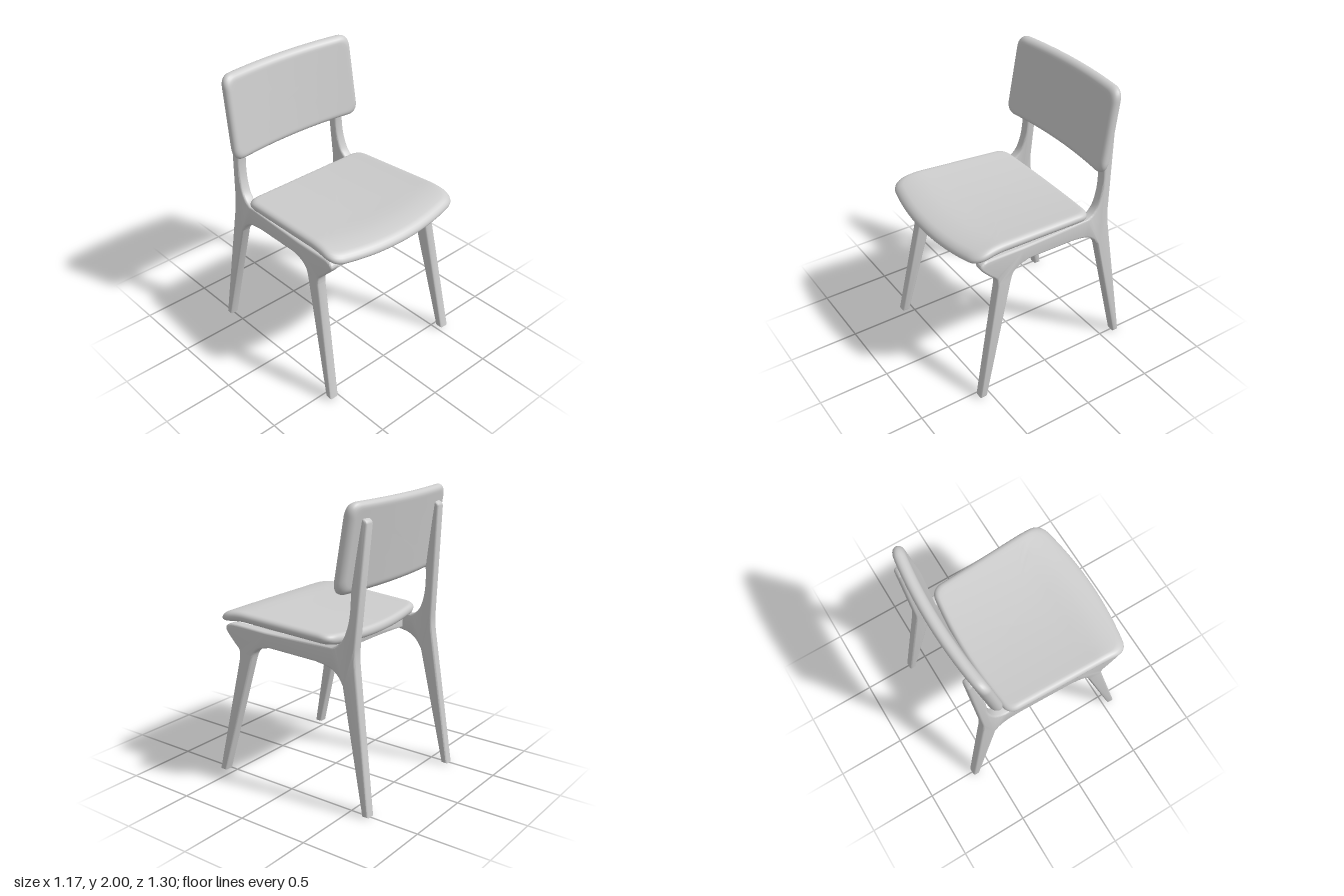
import * as THREE from 'three';
import { toCreasedNormals } from 'three/addons/utils/BufferGeometryUtils.js';

const pale = new THREE.MeshStandardMaterial({ color: 0xcccccc });
pale.name = 'pale grey';

const v2 = (list) => list.map(([a, b]) => new THREE.Vector2(a, b));

function addMesh(group, name, geometry) {
  const mesh = new THREE.Mesh(geometry, pale);
  mesh.name = name;
  group.add(mesh);
  return mesh;
}

// Move every vertex by a rule
function warp(geometry, rule) {
  const p = geometry.attributes.position;
  const v = new THREE.Vector3();
  for (let i = 0; i < p.count; i++) {
    v.fromBufferAttribute(p, i);
    rule(v);
    p.setXYZ(i, v.x, v.y, v.z);
  }
  return geometry;
}

// Cushion with a rounded rim: rings run from the lower centre, round the rim, to the upper centre
function pad(shape, halfW, halfH, edge, thick, rule) {
  const N = 240;
  const outline = shape.getSpacedPoints(N).slice(0, N);
  const scales = [0, 0.15, 0.3, 0.45, 0.6, 0.75, 0.87, 0.95];
  const rings = scales.map((s) => [s, edge, -thick]);
  const steps = 10;
  for (let i = 0; i <= steps; i++) {
    const a = (Math.PI * i) / steps;
    rings.push([1, edge * (1 - Math.sin(a)), -thick * Math.cos(a)]);
  }
  scales.slice().reverse().forEach((s) => rings.push([s, edge, thick]));

  const pos = [], idx = [];
  rings.forEach(([s, inset, w], i) => {
    outline.forEach((q, j) => {
      pos.push(q.x * s * (1 - inset / halfW), q.y * s * (1 - inset / halfH), w);
      if (i === rings.length - 1) return;
      const k = (j + 1) % N;
      const a = i * N + j, b = i * N + k, c = b + N, d = a + N;
      idx.push(a, b, c, a, c, d);
    });
  });
  const g = new THREE.BufferGeometry();
  g.setAttribute('position', new THREE.Float32BufferAttribute(pos, 3));
  g.setIndex(idx);
  warp(g, rule);
  g.computeVertexNormals();
  return g;
}

// Side outline of one frame: front leg, rail, rear leg and back post (z, y)
function frameShape() {
  const s = new THREE.Shape();
  s.moveTo(0.586, 0.014);
  s.lineTo(0.414, 0.865);
  s.splineThru(v2([[0.42, 0.92], [0.47, 0.97], [0.525, 1.03], [0.535, 1.065], [0.5, 1.09], [0.44, 1.093]]));
  s.lineTo(0.2, 1.08);
  s.lineTo(-0.33, 1.075);
  s.splineThru(v2([[-0.375, 1.1], [-0.415, 1.15], [-0.445, 1.24], [-0.457, 1.34], [-0.457, 1.44]]));
  s.lineTo(-0.513, 1.88);
  s.quadraticCurveTo(-0.517, 1.905, -0.535, 1.895);
  s.quadraticCurveTo(-0.559, 1.885, -0.558, 1.86);
  s.lineTo(-0.507, 1.09);
  s.quadraticCurveTo(-0.503, 1.03, -0.52, 0.92);
  s.lineTo(-0.648, 0);
  s.lineTo(-0.602, 0);
  s.lineTo(-0.42, 0.84);
  s.splineThru(v2([[-0.377, 0.9], [-0.313, 0.94], [-0.207, 0.96]]));
  s.lineTo(0.165, 0.976);
  s.splineThru(v2([[0.245, 0.955], [0.29, 0.918], [0.313, 0.854]]));
  s.lineTo(0.536, 0.014);
  s.closePath();
  return s;
}

// Frames lean inward with height and splay toward the front
function sideFrame(side) {
  const bevel = 0.014, width = 0.072;
  const g = new THREE.ExtrudeGeometry(frameShape(), {
    depth: width - 2 * bevel, curveSegments: 6,
    bevelEnabled: true, bevelSize: bevel, bevelThickness: bevel, bevelOffset: -bevel, bevelSegments: 3,
  });
  g.translate(0, 0, bevel - width / 2);
  g.rotateY(-Math.PI / 2);
  warp(g, (v) => { v.x += side * (0.524 + 0.0425 * v.z - 0.049 * v.y); });
  return toCreasedNormals(g, 0.6);
}

// Cross beam with arched underside and a dished top
function crossBeam(half, topEnd, topMid, z) {
  const s = new THREE.Shape();
  s.moveTo(-half, 0.97);
  s.quadraticCurveTo(0, 1.0, half, 0.97);
  s.lineTo(half, 1.07);
  s.lineTo(half - 0.06, topEnd);
  s.quadraticCurveTo(0, 2 * topMid - topEnd, -half + 0.06, topEnd);
  s.lineTo(-half, 1.07);
  s.closePath();
  const g = new THREE.ExtrudeGeometry(s, {
    depth: 0.05, curveSegments: 20,
    bevelEnabled: true, bevelSize: 0.008, bevelThickness: 0.008, bevelOffset: -0.008, bevelSegments: 2,
  });
  g.translate(0, 0, z - 0.025);
  return toCreasedNormals(g, 0.6);
}

// Seat outline drawn as (x, -z)
function seatShape() {
  const s = new THREE.Shape();
  s.moveTo(-0.47, -0.596);
  s.quadraticCurveTo(0, -0.7, 0.47, -0.596);
  s.quadraticCurveTo(0.555, -0.575, 0.55, -0.48);
  s.lineTo(0.52, 0.25);
  s.quadraticCurveTo(0.517, 0.325, 0.44, 0.337);
  s.quadraticCurveTo(0, 0.395, -0.44, 0.337);
  s.quadraticCurveTo(-0.517, 0.325, -0.52, 0.25);
  s.lineTo(-0.55, -0.48);
  s.quadraticCurveTo(-0.555, -0.575, -0.47, -0.596);
  return s;
}

// Backrest outline, slightly wider at the bottom
function backShape() {
  const s = new THREE.Shape();
  const h = 0.288, r = 0.08, b = 0.545, t = 0.536;
  s.moveTo(-b + r, -h);
  s.lineTo(b - r, -h);
  s.quadraticCurveTo(b, -h, b, -h + r);
  s.lineTo(t, h - r);
  s.quadraticCurveTo(t, h, t - r, h);
  s.lineTo(-t + r, h);
  s.quadraticCurveTo(-t, h, -t, h - r);
  s.lineTo(-b, -h + r);
  s.quadraticCurveTo(-b, -h, -b + r, -h);
  return s;
}

export function createModel() {
  const chair = new THREE.Group();
  chair.name = 'chair';

  addMesh(chair, 'leftFrame', sideFrame(1));
  addMesh(chair, 'rightFrame', sideFrame(-1));
  addMesh(chair, 'frontBeam', crossBeam(0.47, 1.108, 1.08, 0.33));
  addMesh(chair, 'rearBeam', crossBeam(0.45, 1.09, 1.055, -0.235));

  // Dished seat with a front edge that rolls down
  addMesh(chair, 'seat', pad(seatShape(), 0.55, 0.55, 0.045, 0.036, (v) => {
    const z = -v.y;
    const front = Math.max(0, z - 0.35);
    const sag = 0.034 * (1 - (v.x / 0.54) ** 2) * (1 - Math.min(1, front / 0.3));
    v.set(v.x, 1.137 + 0.046 * z - 0.86 * front * front - sag + v.z, z);
  }));

  // Backrest, bowed around the sitter and leaning back
  addMesh(chair, 'backrest', pad(backShape(), 0.545, 0.288, 0.04, 0.04, (v) => {
    const y = v.y + 1.712;
    v.set(v.x, y, -0.446 - 0.155 * (y - 1.45) + 0.045 * (v.x / 0.54) ** 2 + v.z);
  }));

  return chair;
}
